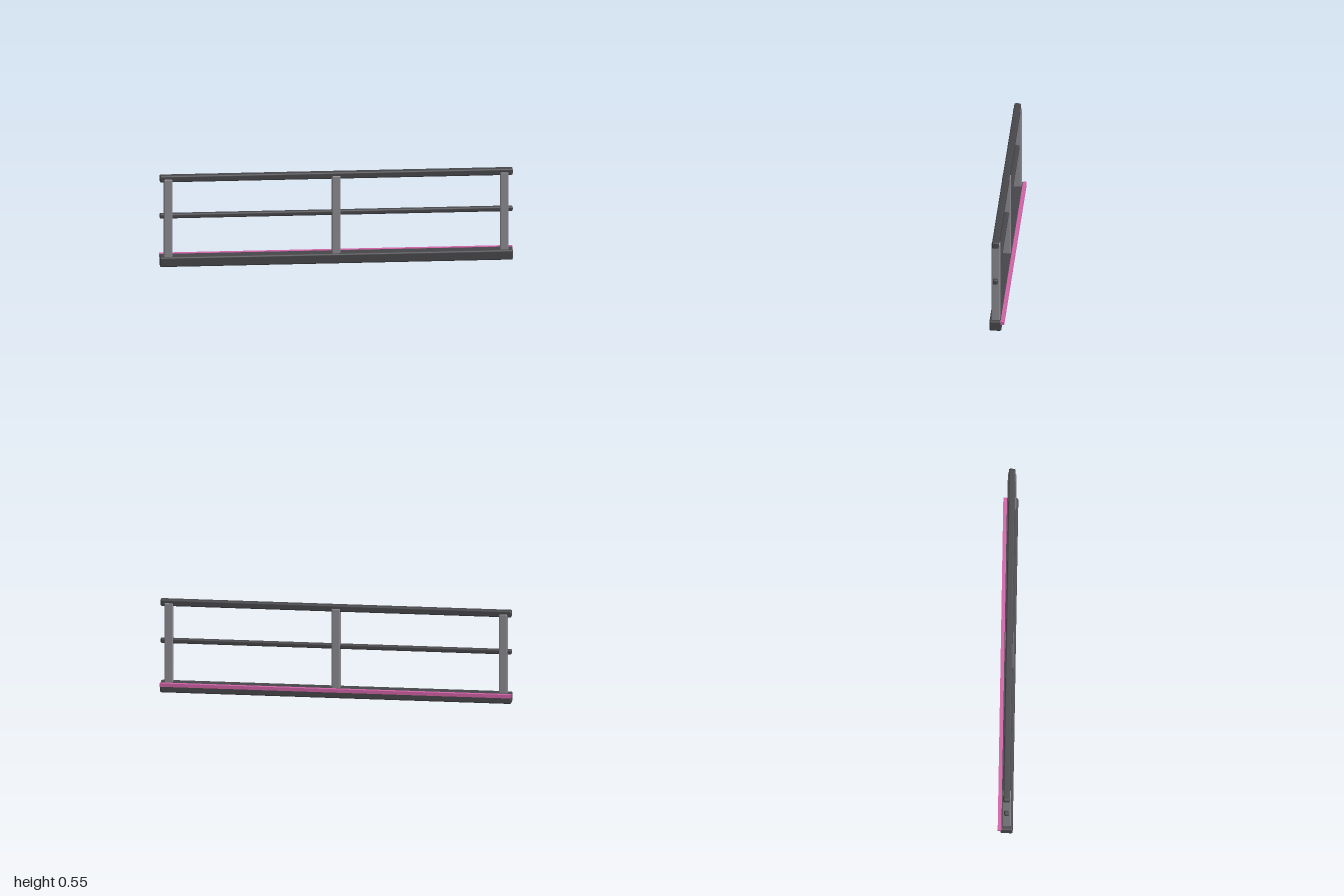
import * as THREE from 'three';
import { RoundedBoxGeometry } from 'three/addons/geometries/RoundedBoxGeometry.js';

export function createModel() {
  const model = new THREE.Group();
  model.name = 'railing';

  const material = (name, color) => {
    const m = new THREE.MeshStandardMaterial({ color });
    m.name = name;
    return m;
  };
  const darkMetal = material('dark metal', 0x47474b);
  const greyMetal = material('grey metal', 0x8b898f);
  const pink = material('pink strip', 0xd062a6);

  // Box given by its limits; a radius rounds the edges
  const bar = (name, mat, [x0, x1], [y0, y1], [z0, z1], radius = 0) => {
    const size = [x1 - x0, y1 - y0, z1 - z0];
    const geometry = radius
      ? new RoundedBoxGeometry(...size, 2, radius)
      : new THREE.BoxGeometry(...size);
    const mesh = new THREE.Mesh(geometry, mat);
    mesh.name = name;
    mesh.position.set((x0 + x1) / 2, (y0 + y1) / 2, (z0 + z1) / 2);
    model.add(mesh);
  };

  // Horizontal members over the full length
  const span = [-1, 1];
  bar('baseBeam', darkMetal, span, [0.002, 0.061], [-0.026, 0.043], 0.009);
  bar('middleRail', darkMetal, span, [0.287, 0.316], [-0.006, 0.023], 0.009);
  bar('topRail', darkMetal, span, [0.507, 0.546], [-0.011, 0.028], 0.009);

  // Upright posts, passing down through the base beam
  for (const [name, x] of [['rightPost', -0.952], ['middlePost', 0], ['leftPost', 0.952]]) {
    bar(name, greyMetal, [x - 0.024, x + 0.024], [0, 0.526], [-0.016, 0.032], 0.006);
  }

  // Thin square strip along the back of the base
  bar('backStrip', pink, span, [0.041, 0.061], [-0.042, -0.021]);

  return model;
}
